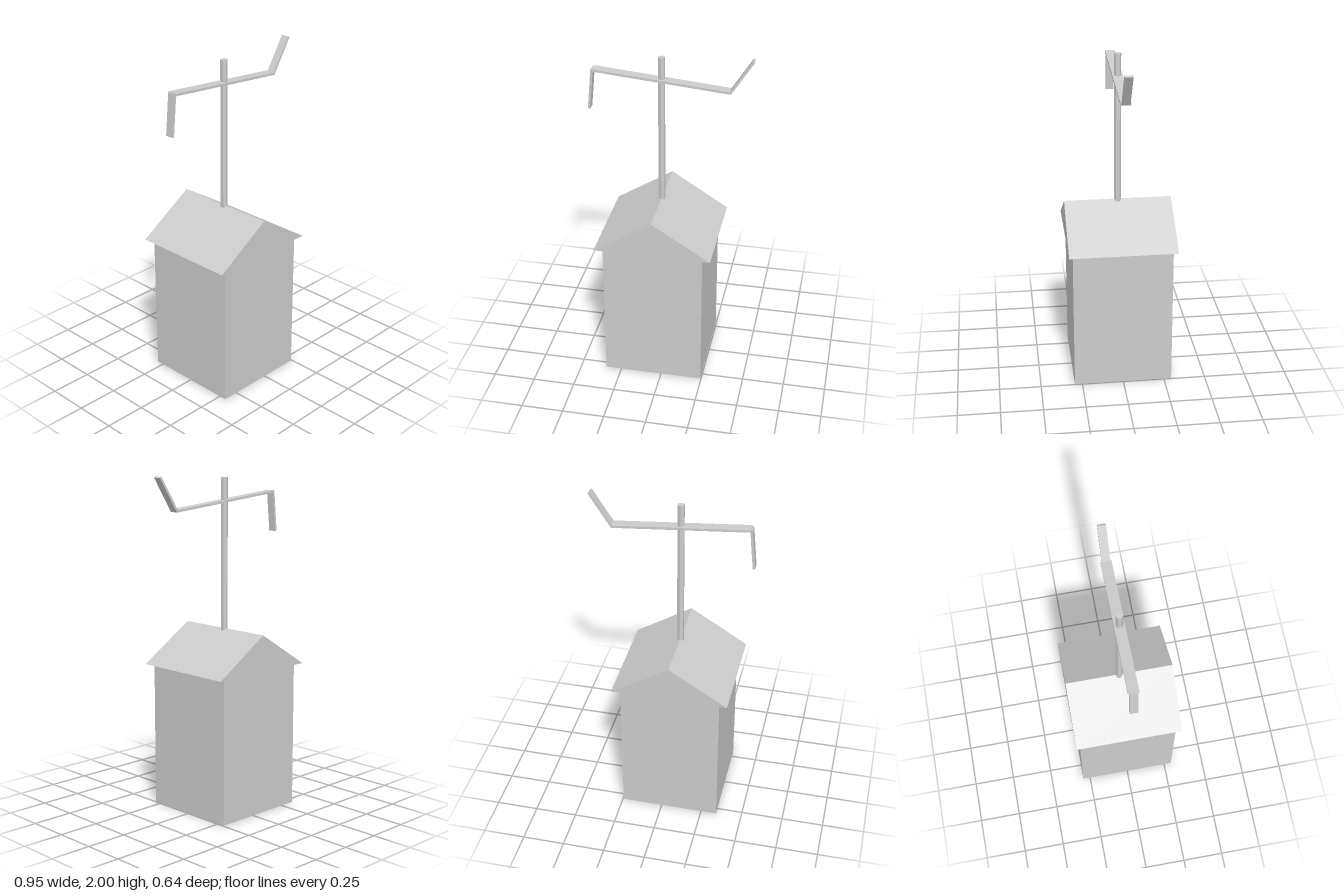
import * as THREE from 'three';

export function createModel() {
  const model = new THREE.Group();
  const grey = new THREE.MeshStandardMaterial({ color: 0xcccccc, flatShading: true });
  grey.name = 'plain grey';
  const axis = -0.05;

  function add(name, geometry, x, y, z = 0) {
    const mesh = new THREE.Mesh(geometry, grey);
    mesh.name = name;
    mesh.position.set(x, y, z);
    model.add(mesh);
    return mesh;
  }

  // Flat bar laid between two points in the front plane
  function addBar(name, [x1, y1], [x2, y2], thickness, depth) {
    const length = Math.hypot(x2 - x1, y2 - y1);
    const bar = add(name, new THREE.BoxGeometry(length, thickness, depth), (x1 + x2) / 2, (y1 + y2) / 2);
    bar.rotation.z = Math.atan2(y2 - y1, x2 - x1);
  }

  // Square house body
  add('body', new THREE.BoxGeometry(0.59, 0.868, 0.59), axis, 0.434);

  // Solid gable roof with its ridge running front to back
  const gable = new THREE.Shape([
    new THREE.Vector2(-0.344, 0),
    new THREE.Vector2(0.344, 0),
    new THREE.Vector2(0, 0.217),
  ]);
  const roof = new THREE.ExtrudeGeometry(gable, { depth: 0.638, bevelEnabled: false });
  add('roof', roof, axis, 0.868, -0.319);

  // Six-sided pole rising from the ridge
  add('pole', new THREE.CylinderGeometry(0.021, 0.021, 0.915, 6), axis, 1.5175);

  // Tilted crossbar with a bent blade at each end
  addBar('crossbar', [-0.444, 1.874], [0.344, 1.803], 0.014, 0.06);
  addBar('hangingBlade', [-0.445, 1.876], [-0.468, 1.634], 0.014, 0.048);
  addBar('raisedBlade', [0.341, 1.8], [0.465, 1.996], 0.014, 0.048);

  return model;
}
